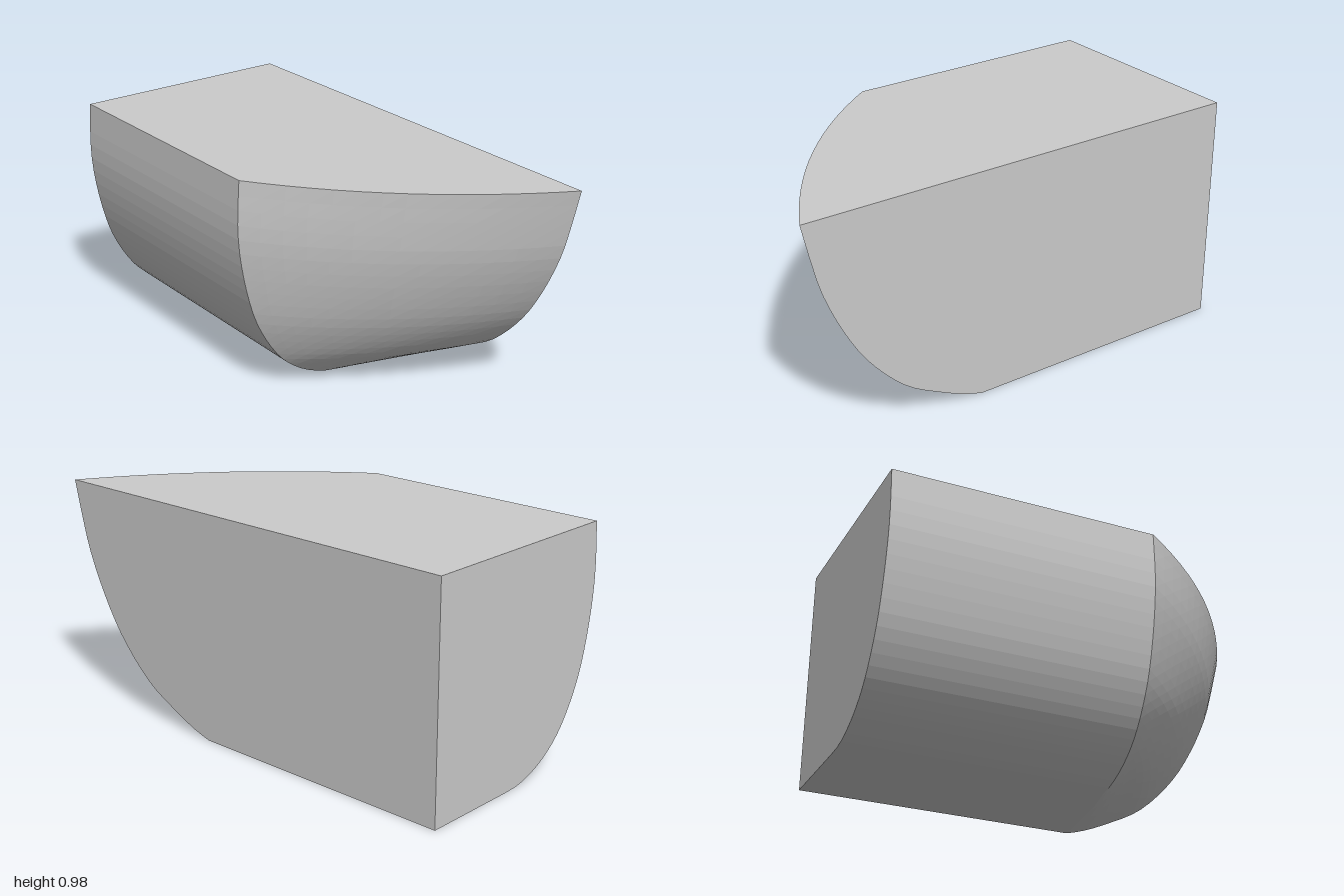
import * as THREE from 'three';

const BACK = -0.487, END = -1, SHOULDER = 0.13, TOP = 0.975;
const ROWS = 24, BOW_STEPS = 14;

const material = new THREE.MeshStandardMaterial({ color: 0xcccccc, flatShading: true });

// Each point holds: front z of the section, height, x of the stem at that height
const levels = new THREE.CatmullRomCurve3([
  [-0.06, 0, 0.2], [0.02, 0.004, 0.215], [0.1, 0.025, 0.285], [0.2, 0.075, 0.4],
  [0.3, 0.165, 0.565], [0.4, 0.335, 0.735], [0.45, 0.5, 0.84], [0.48, 0.68, 0.922],
  [0.485, 0.8, 0.957], [0.475, TOP, 1],
].map(p => new THREE.Vector3(...p))).getSpacedPoints(ROWS);

// One waterline: straight side, then a bowed curve to the stem
function waterline({ x: z, y, z: stem }) {
  const dx = stem - SHOULDER, dz = z - BACK;
  const bow = new THREE.QuadraticBezierCurve3(
    new THREE.Vector3(SHOULDER, y, z),
    new THREE.Vector3(SHOULDER + 0.638 * dx, y, z - 0.387 * dz),
    new THREE.Vector3(stem, y, BACK),
  );
  return [new THREE.Vector3(END, y, z), ...bow.getPoints(BOW_STEPS)];
}

function meshFrom(name, points) {
  const geometry = new THREE.BufferGeometry().setFromPoints(points);
  geometry.computeVertexNormals();
  const mesh = new THREE.Mesh(geometry, material);
  mesh.name = name;
  return mesh;
}

// Flat face, fanned from the first corner of a counter-clockwise outline
function flatFace(name, outline) {
  const points = [];
  for (let i = 1; i < outline.length - 1; i++) points.push(outline[0], outline[i], outline[i + 1]);
  return meshFrom(name, points);
}

export function createModel() {
  const group = new THREE.Group();
  group.name = 'halfHull';
  const grid = levels.map(waterline);

  // Curved side and bow
  const skin = [];
  for (let i = 0; i < ROWS; i++) {
    for (let j = 0; j <= BOW_STEPS; j++) {
      const a = grid[i][j], b = grid[i][j + 1], c = grid[i + 1][j + 1], d = grid[i + 1][j];
      skin.push(a, b, c, a, c, d);
    }
  }
  group.add(meshFrom('hullSide', skin));

  // Flat deck, bottom, back wall and square end
  const backTop = new THREE.Vector3(END, TOP, BACK);
  const backBottom = new THREE.Vector3(END, 0, BACK);
  const stem = grid.map(row => row[BOW_STEPS + 1]);
  const endEdge = grid.map(row => row[0]);
  group.add(flatFace('deck', [backTop, ...grid[ROWS]]));
  group.add(flatFace('bottom', [backBottom, ...[...grid[0]].reverse()]));
  group.add(flatFace('backWall', [backBottom, backTop, ...[...stem].reverse()]));
  group.add(flatFace('squareEnd', [backBottom, ...endEdge, backTop]));
  return group;
}
